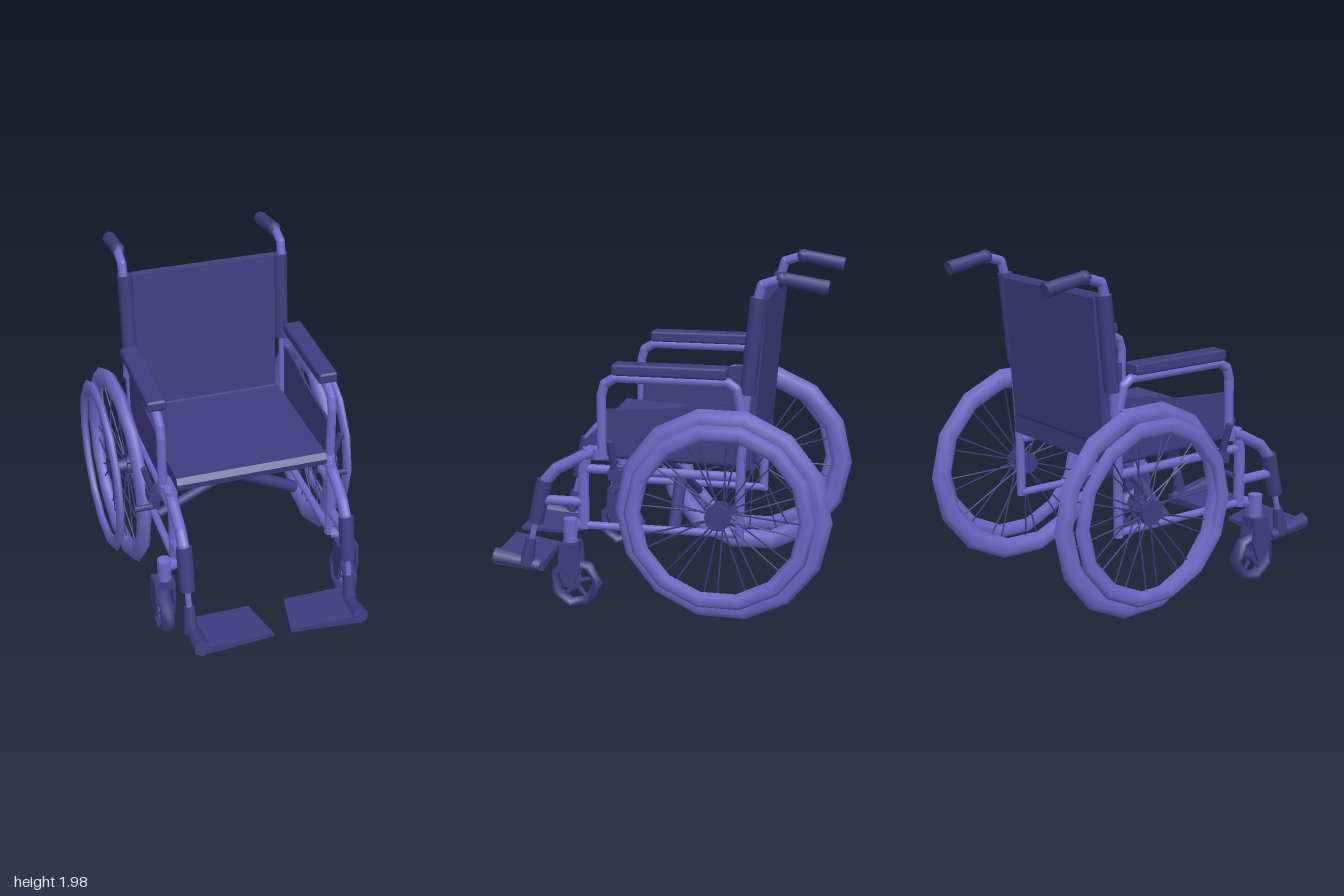
import * as THREE from 'three';
import { RoundedBoxGeometry } from 'three/addons/geometries/RoundedBoxGeometry.js';

const V = (x, y, z) => new THREE.Vector3(x, y, z);

export function createModel() {
  const model = new THREE.Group();
  model.name = 'wheelchair';
  const frame = new THREE.MeshStandardMaterial({ color: 0x6c6ac8 });
  frame.name = 'frame blue';
  const dark = new THREE.MeshStandardMaterial({ color: 0x3f3d80 });
  dark.name = 'dark blue';

  const add = (parent, name, geo, mat, x = 0, y = 0, z = 0) => {
    const mesh = new THREE.Mesh(geo, mat);
    mesh.name = name;
    mesh.position.set(x, y, z);
    parent.add(mesh);
    return mesh;
  };

  // Straight bar between two points, optionally tapered
  const rod = (parent, name, a, b, r, mat = frame, sides = 8, r2 = r) => {
    const dir = b.clone().sub(a);
    const mesh = add(parent, name, new THREE.CylinderGeometry(r2, r, dir.length(), sides), mat);
    mesh.position.copy(a).add(b).multiplyScalar(0.5);
    mesh.quaternion.setFromUnitVectors(V(0, 1, 0), dir.normalize());
  };

  // Bent tube through [z, y] points at a fixed x, with rounded joints
  const pipe = (parent, name, x, pts, r) => {
    const p = pts.map(([z, y]) => V(x, y, z));
    for (let i = 0; i + 1 < p.length; i++) {
      rod(parent, name, p[i], p[i + 1], r);
      if (i) add(parent, name + 'Joint', new THREE.SphereGeometry(r, 8, 6), frame, ...p[i]);
    }
  };

  // Solid plate from a [z, y] outline, extruded along x about a centre x
  const sidePlate = (parent, name, x, width, pts) => {
    const shape = new THREE.Shape(pts.map(([z, y]) => new THREE.Vector2(-z, y)));
    const geo = new THREE.ExtrudeGeometry(shape, { depth: width, bevelEnabled: false });
    geo.translate(0, 0, -width / 2);
    geo.rotateY(Math.PI / 2);
    add(parent, name, geo, dark, x);
  };

  // Ring standing in the yz plane, squashed to a given width
  const ring = (parent, name, radius, tube, width, segs, mat) => {
    const geo = new THREE.TorusGeometry(radius, tube, 6, segs);
    geo.scale(1, 1, width / (2 * tube));
    geo.rotateY(Math.PI / 2);
    return add(parent, name, geo, mat);
  };

  // Seat and back upholstery
  sidePlate(model, 'seat', 0, 0.9,
    [[-0.53, 0.88], [0.38, 0.93], [0.42, 0.95], [0.43, 0.99], [0.40, 1.02], [-0.46, 0.97], [-0.53, 1.0]]);
  sidePlate(model, 'backrest', 0, 0.88,
    [[-0.47, 0.92], [-0.50, 0.89], [-0.535, 1.0], [-0.60, 1.82], [-0.58, 1.845], [-0.54, 1.84]]);

  // Folding cross brace under the seat
  rod(model, 'crossBraceLong', V(-0.44, 0.45, -0.06), V(0.44, 0.92, 0), 0.03, dark);
  rod(model, 'crossBraceShort', V(0.44, 0.45, -0.08), V(0.0, 0.685, -0.04), 0.038, dark);
  rod(model, 'crossBraceStub', V(-0.42, 0.85, 0), V(-0.25, 0.93, 0), 0.03, dark);

  for (const s of [1, -1]) {
    const side = new THREE.Group();
    side.name = s > 0 ? 'leftSide' : 'rightSide';
    model.add(side);

    // Side frame
    pipe(side, 'rearPost', s * 0.49, [[-0.47, 0.46], [-0.475, 0.92], [-0.50, 1.3], [-0.555, 1.82], [-0.58, 1.91], [-0.70, 1.95]], 0.028);
    rod(side, 'seatRail', V(s * 0.47, 0.93, 0.41), V(s * 0.47, 0.925, 0.26), 0.028);
    rod(side, 'seatRailSleeve', V(s * 0.465, 0.915, 0.27), V(s * 0.465, 0.9, -0.5), 0.03, dark);
    pipe(side, 'middleRail', s * 0.48, [[0.42, 0.82], [-0.47, 0.82]], 0.028);
    pipe(side, 'lowerRail', s * 0.48, [[0.46, 0.48], [-0.48, 0.48]], 0.024);
    pipe(side, 'frontPost', s * 0.48, [[0.41, 0.94], [0.44, 0.8], [0.44, 0.46]], 0.033);
    rod(side, 'frontSocket', V(s * 0.495, 0.89, 0.34), V(s * 0.495, 0.95, 0.34), 0.04);

    // Back post sleeve and push handle
    rod(side, 'backSleeve', V(s * 0.48, 1.3, -0.505), V(s * 0.48, 1.84, -0.56), 0.045, dark);
    rod(side, 'pushHandle', V(s * 0.485, 1.95, -0.68), V(s * 0.48, 1.902, -0.94), 0.036, dark, 8, 0.042);
    add(side, 'handleCollar', new THREE.SphereGeometry(0.042, 8, 6), dark, s * 0.485, 1.945, -0.69);

    // Armrest and skirt guard
    pipe(side, 'armTube', s * 0.51, [[0.32, 0.9], [0.32, 1.26], [0.30, 1.33], [0.24, 1.365], [-0.40, 1.365], [-0.45, 1.33], [-0.48, 1.2]], 0.028);
    add(side, 'armPad', new RoundedBoxGeometry(0.115, 0.065, 0.65, 1, 0.015), dark, s * 0.51, 1.42, -0.075);
    sidePlate(side, 'skirtGuard', s * 0.495, 0.015,
      [[0.31, 0.92], [0.31, 1.18], [-0.05, 1.2], [-0.3, 1.25], [-0.48, 1.25], [-0.5, 0.9]]);

    // Brake
    add(side, 'brakeClamp', new THREE.BoxGeometry(0.13, 0.06, 0.1), dark, s * 0.515, 0.815, 0.22);
    rod(side, 'brakeLever', V(s * 0.55, 0.84, 0.24), V(s * 0.6, 1.02, 0.25), 0.022, dark, 6);
    rod(side, 'brakeBar', V(s * 0.52, 0.73, 0.23), V(s * 0.66, 0.73, 0.23), 0.018, dark, 6);
    rod(side, 'brakeArm', V(s * 0.53, 0.72, 0.23), V(s * 0.53, 0.8, 0.23), 0.025, dark, 6);

    // Leg rest
    pipe(side, 'legRest', s * 0.485, [[0.36, 0.93], [0.45, 0.89], [0.60, 0.81], [0.66, 0.74], [0.69, 0.66]], 0.035);
    rod(side, 'legRestStrut', V(s * 0.485, 0.62, 0.44), V(s * 0.485, 0.62, 0.68), 0.03);
    rod(side, 'legSleeve', V(s * 0.485, 0.48, 0.73), V(s * 0.485, 0.74, 0.67), 0.047, dark);
    rod(side, 'footRod', V(s * 0.485, 0.36, 0.76), V(s * 0.485, 0.5, 0.725), 0.018);
    rod(side, 'footSleeve', V(s * 0.485, 0.22, 0.79), V(s * 0.485, 0.38, 0.76), 0.045, dark, 8, 0.03);

    // Footplate, tapered towards the middle and raised at the toe
    const foot = new THREE.BoxGeometry(1, 1, 1);
    const fp = foot.attributes.position;
    for (let i = 0; i < fp.count; i++) {
      const outer = fp.getX(i) * s > 0, toe = fp.getZ(i) > 0, top = fp.getY(i) > 0;
      const x = outer ? 0.49 : toe ? 0.05 : 0.11;
      const y = (outer ? (top ? 0.235 : 0.18) : (top ? 0.235 : 0.215)) + (toe ? 0.025 : 0);
      fp.setXYZ(i, s * x, y, toe ? 0.99 : 0.69);
    }
    foot.computeVertexNormals();
    add(side, 'footplate', foot, dark);
    rod(side, 'footplateHinge', V(s * 0.475, 0.21, 0.71), V(s * 0.475, 0.255, 0.99), 0.036, dark, 6, 0.05);

    // Caster
    const caster = new THREE.Group();
    caster.name = 'caster';
    caster.position.set(s * 0.57, 0.16, 0.47);
    side.add(caster);
    ring(caster, 'casterTyre', 0.128, 0.03, 0.09, 7, dark);
    rod(caster, 'casterHub', V(-0.045, 0, 0), V(0.045, 0, 0), 0.035, dark);
    for (let i = 0; i < 5; i++) {
      const a = i / 5 * Math.PI * 2;
      rod(caster, 'casterSpoke', V(0, 0, 0), V(0, Math.cos(a) * 0.11, Math.sin(a) * 0.11), 0.014, dark, 5);
    }
    for (const k of [-1, 1]) {
      sidePlate(caster, 'casterFork', k * 0.052, 0.016,
        [[0.0, -0.02], [0.06, -0.01], [0.09, 0.12], [0.08, 0.24], [-0.03, 0.24], [-0.04, 0.1]]);
    }
    add(caster, 'forkCrown', new THREE.BoxGeometry(0.12, 0.06, 0.1), dark, 0, 0.215, 0.025);
    rod(caster, 'casterStem', V(-s * 0.01, 0.22, 0.03), V(-s * 0.01, 0.38, 0.03), 0.042);
    rod(side, 'casterBracket', V(s * 0.48, 0.48, 0.47), V(s * 0.56, 0.48, 0.5), 0.035);

    // Drive wheel, slightly toed in at the front
    const wheel = new THREE.Group();
    wheel.name = 'driveWheel';
    wheel.position.set(s * 0.61, 0.63, -0.39);
    wheel.rotation.y = -s * 0.04;
    side.add(wheel);
    ring(wheel, 'tyre', 0.555, 0.064, 0.08, 14, frame);
    rod(wheel, 'hub', V(-0.07 * s, 0, 0.015), V(0.05 * s, 0, 0.015), 0.045, dark, 10);
    for (const [x, r] of [[-0.055, 0.065], [0.05, 0.075]]) {
      rod(wheel, 'hubFlange', V((x - 0.015) * s, 0, 0.015), V((x + 0.015) * s, 0, 0.015), r, dark, 10);
    }
    for (let i = 0; i < 24; i++) {
      const a = i / 24 * Math.PI * 2, b = a + (i % 2 ? 0.05 : -0.05);
      rod(wheel, 'spoke', V(s * (i % 2 ? 0.045 : -0.045), Math.cos(a) * 0.04, Math.sin(a) * 0.04),
        V(0, Math.cos(b) * 0.51, Math.sin(b) * 0.51), 0.005, dark, 5);
    }

    // Hand rim and axle
    ring(side, 'handRim', 0.492, 0.047, 0.046, 14, frame).position.set(s * 0.717, 0.645, -0.39);
    rod(side, 'axle', V(s * 0.48, 0.63, -0.46), V(s * 0.6, 0.63, -0.375), 0.025, dark);
  }
  return model;
}
